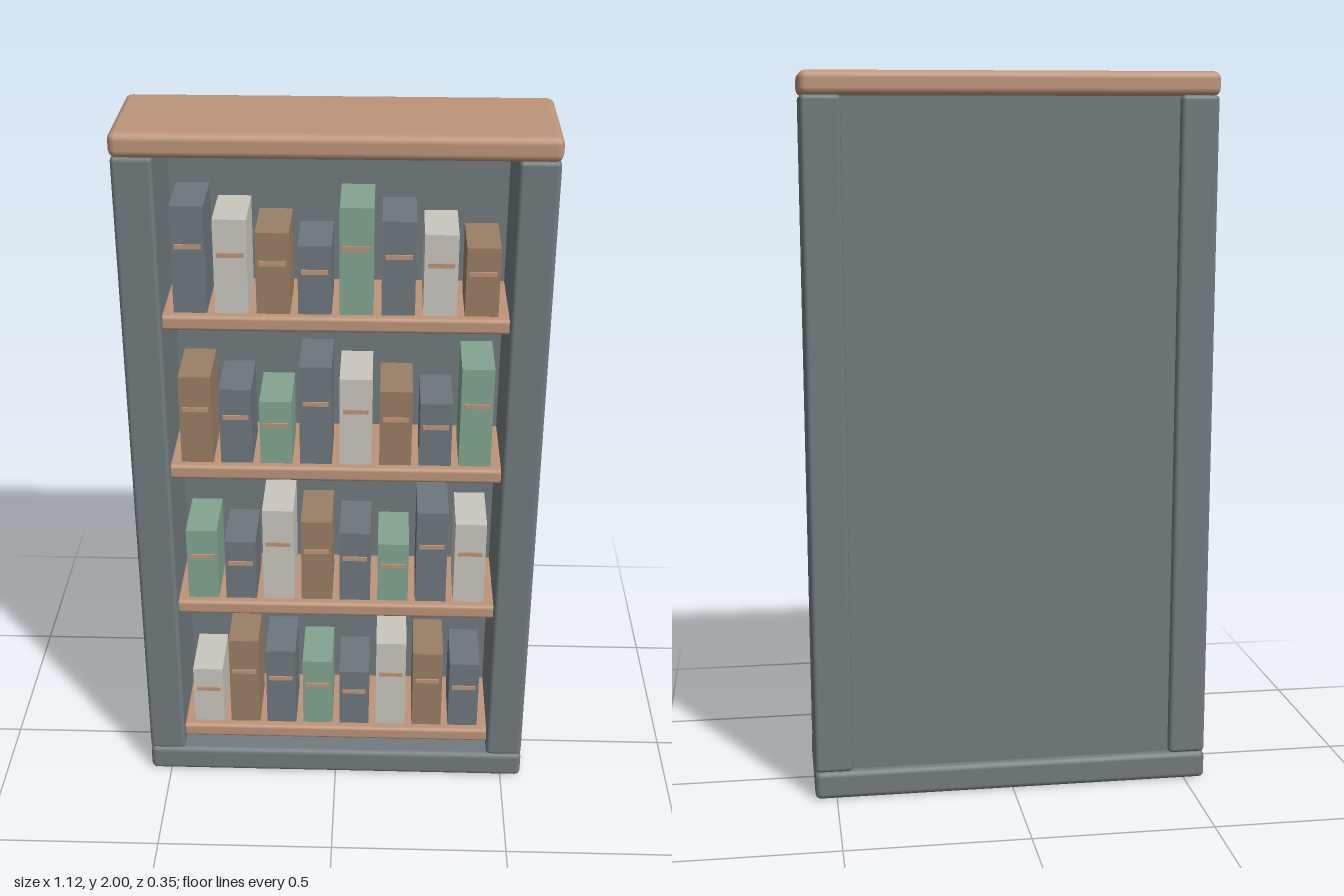
import * as THREE from 'three';
import { RoundedBoxGeometry } from 'three/addons/geometries/RoundedBoxGeometry.js';

const material = (name, color) => {
  const m = new THREE.MeshStandardMaterial({ color });
  m.name = name;
  return m;
};

export function createModel() {
  const slate = material('slate paint', 0x727b80);
  const wood = material('light wood', 0xbd957a);
  const slateCover = material('slate cover', 0x6e777e);
  const ivory = material('ivory cover', 0xcac7bd);
  const tan = material('tan cover', 0x9a7f65);
  const green = material('green cover', 0x82a590);

  const model = new THREE.Group();
  model.name = 'bookcase';

  const add = (parent, name, geometry, mat, x, y, z) => {
    const mesh = new THREE.Mesh(geometry, mat);
    mesh.name = name;
    mesh.position.set(x, y, z);
    parent.add(mesh);
    return mesh;
  };

  // Carcass: plinth, two side posts, recessed back panel and wooden top
  add(model, 'plinth', new RoundedBoxGeometry(1.12, 0.08, 0.345, 2, 0.016), slate, 0, 0.04, 0);
  for (const side of [-1, 1]) {
    add(model, side > 0 ? 'leftSide' : 'rightSide',
      new RoundedBoxGeometry(0.105, 1.86, 0.34, 2, 0.012), slate, side * 0.5065, 1.008, 0);
  }
  add(model, 'backPanel', new THREE.BoxGeometry(0.93, 1.88, 0.03), slate, 0, 1.008, -0.135);
  add(model, 'top', new RoundedBoxGeometry(1.125, 0.065, 0.348, 2, 0.02), wood, 0, 1.9675, 0);

  // Shelves with their books; heights and covers repeat in shifted cycles
  const heights = [0.295, 0.26, 0.225, 0.19];
  const covers = [slateCover, ivory, tan, slateCover, green];
  const bookWidth = 0.088, bookDepth = 0.18, bookFront = 0.12;
  for (let row = 0; row < 4; row++) {
    const shelfTop = 1.5 - row * 0.45;
    const shelf = new THREE.Group();
    shelf.name = `shelf${row + 1}`;
    shelf.position.y = shelfTop;
    model.add(shelf);
    add(shelf, 'shelfBoard', new RoundedBoxGeometry(0.92, 0.042, 0.27, 2, 0.01), wood, 0, -0.021, 0.01);

    for (let i = 0; i < 8; i++) {
      const h = heights[(i + row) % 4];
      const book = new THREE.Group();
      book.name = `book${i + 1}`;
      book.position.x = (i - 3.5) * 0.109;
      shelf.add(book);
      add(book, 'cover', new THREE.BoxGeometry(bookWidth, h, bookDepth),
        covers[(i + row * 2) % 5], 0, h / 2, bookFront - bookDepth / 2);
      add(book, 'spineBand', new THREE.BoxGeometry(0.07, 0.012, 0.006),
        wood, 0, h * 0.63, bookFront + 0.002);
    }
  }
  return model;
}
